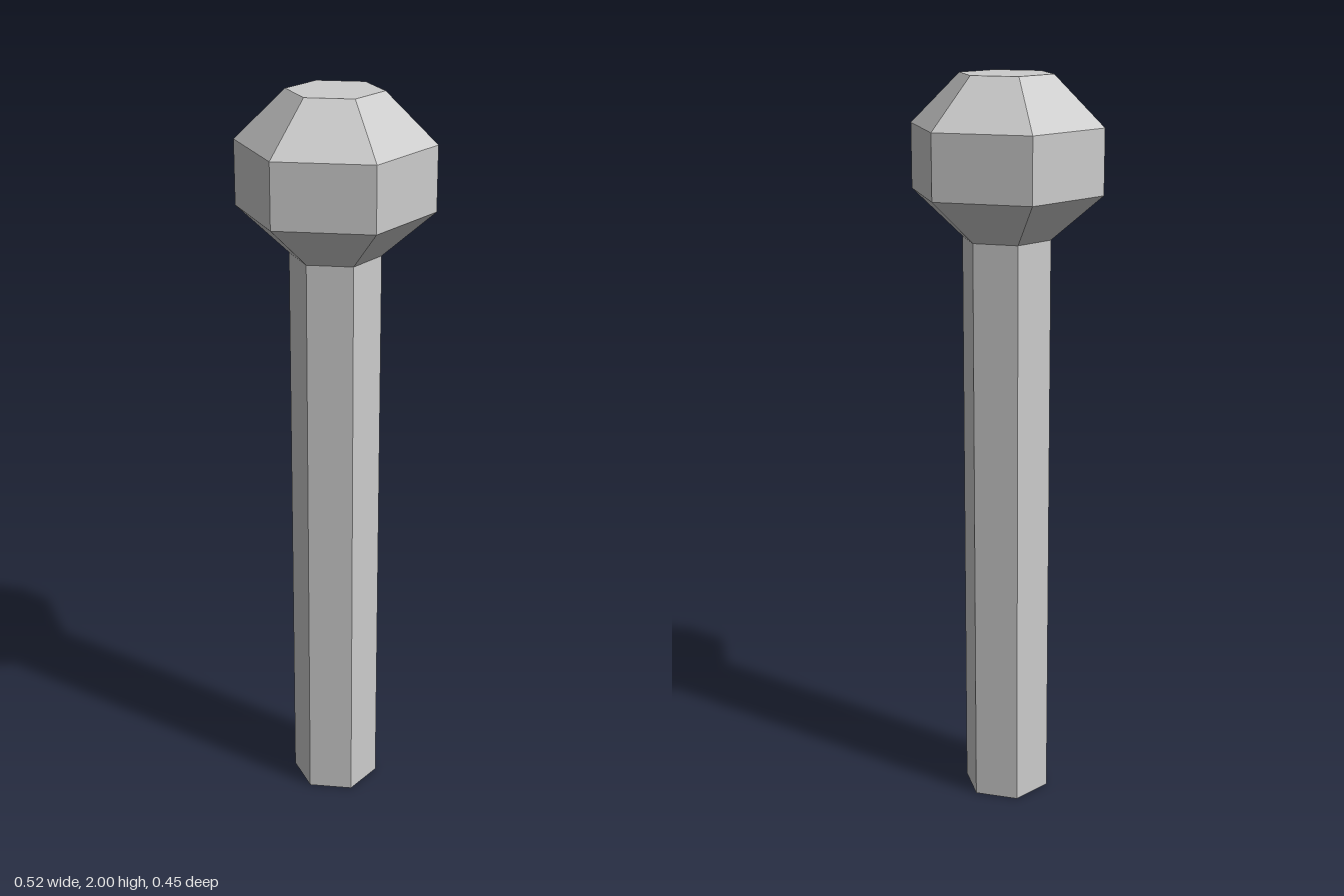
import * as THREE from 'three';

const SIDES = 6;

export function createModel() {
  const group = new THREE.Group();
  const material = new THREE.MeshStandardMaterial({
    color: 0xcccccc, flatShading: true, side: THREE.DoubleSide,
  });

  function add(name, geometry) {
    const mesh = new THREE.Mesh(geometry, material);
    mesh.name = name;
    group.add(mesh);
    return mesh;
  }

  // Hexagonal surface from [radius, height] pairs, with corners on the x axis
  function hexLathe(profile) {
    const points = profile.map(([r, y]) => new THREE.Vector2(r, y));
    return new THREE.LatheGeometry(points, SIDES, Math.PI / 2);
  }

  // Hollow shaft, open at the bottom
  add('shaft', hexLathe([[0.12, 0], [0.12, 1.58]]));

  // Faceted knob, continuing from the shaft
  add('knob', hexLathe([[0.12, 1.58], [0.258, 1.7], [0.258, 1.87], [0.125, 2]]));

  // Flat top of the knob
  const cap = add('knobTop', new THREE.CircleGeometry(0.125, SIDES));
  cap.rotation.x = -Math.PI / 2;
  cap.position.y = 2;

  return group;
}
